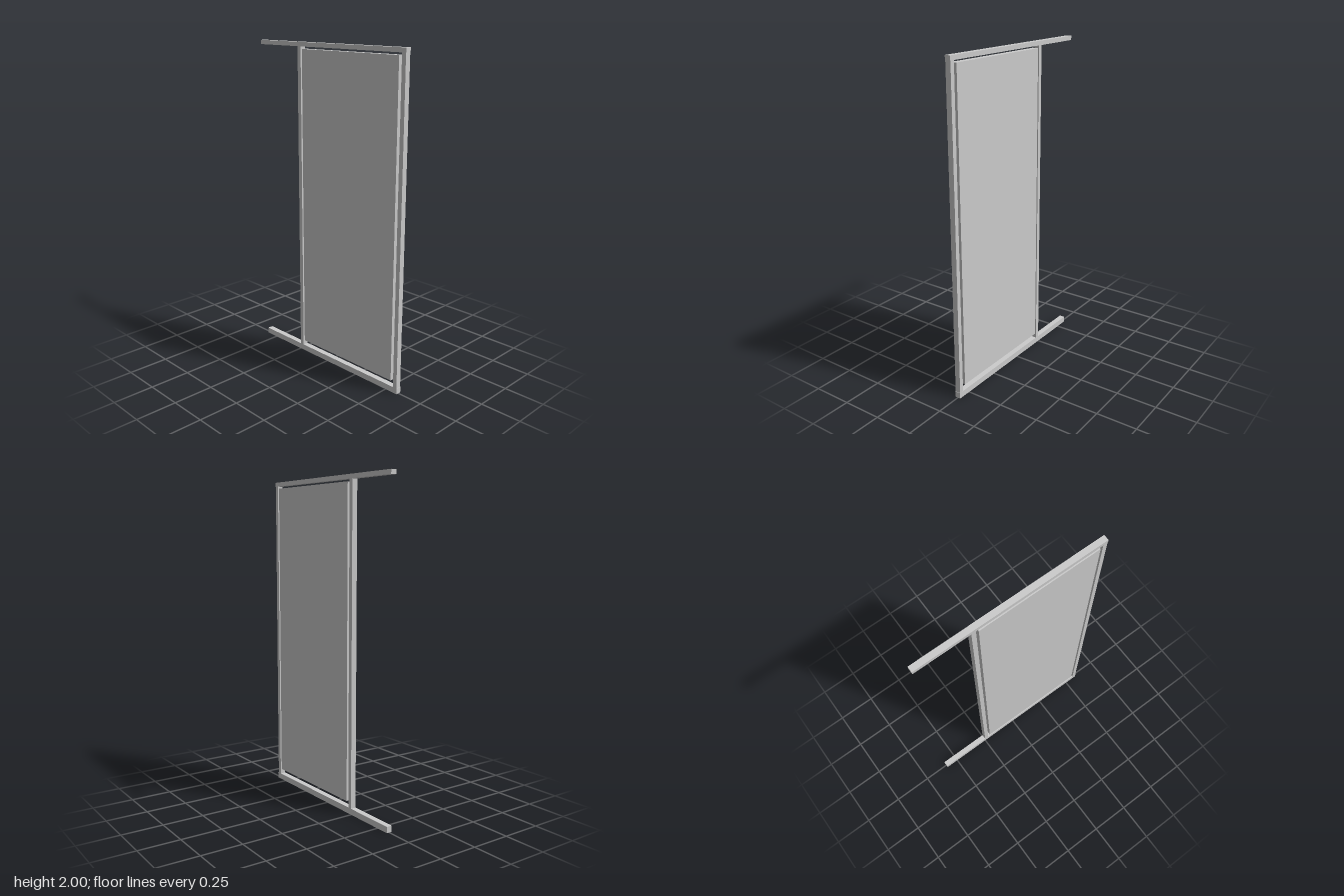
import * as THREE from 'three';

const frameMaterial = new THREE.MeshStandardMaterial({ color: 0xcccccc });
const glassMaterial = new THREE.MeshStandardMaterial({ color: 0xeeeeee });

// Box given by its extents in y and z, centred on x = 0
function slab(name, width, [y0, y1], [z0, z1], material = frameMaterial) {
  const mesh = new THREE.Mesh(new THREE.BoxGeometry(width, y1 - y0, z1 - z0), material);
  mesh.position.set(0, (y0 + y1) / 2, (z0 + z1) / 2);
  mesh.name = name;
  return mesh;
}

export function createModel() {
  const model = new THREE.Group();
  model.name = 'slidingDoor';

  // Long top and bottom tracks
  const railWidth = 0.035;
  model.add(slab('topRail', railWidth, [1.974, 2], [-0.586, 0.586]));
  model.add(slab('bottomRail', railWidth, [0, 0.037], [-0.586, 0.586]));

  // Upright posts on either side of the door leaf
  model.add(slab('frontPost', railWidth - 0.001, [0.002, 1.98], [0.557, 0.584]));
  model.add(slab('rearPost', railWidth - 0.001, [0.002, 1.98], [-0.249, -0.222]));

  // Door leaf: a bordered frame with a flush glass pane
  const leaf = new THREE.Group();
  leaf.name = 'doorLeaf';
  const leafWidth = 0.039;
  const outer = { y: [0.074, 1.96], z: [-0.208, 0.54] };
  const pane = { y: [0.18, 1.854], z: [-0.111, 0.445] };
  leaf.add(slab('leafBottom', leafWidth, [outer.y[0], pane.y[0]], outer.z));
  leaf.add(slab('leafTop', leafWidth, [pane.y[1], outer.y[1]], outer.z));
  leaf.add(slab('leafRearStile', leafWidth, pane.y, [outer.z[0], pane.z[0]]));
  leaf.add(slab('leafFrontStile', leafWidth, pane.y, [pane.z[1], outer.z[1]]));
  leaf.add(slab('glassPane', leafWidth, pane.y, pane.z, glassMaterial));
  model.add(leaf);

  return model;
}
